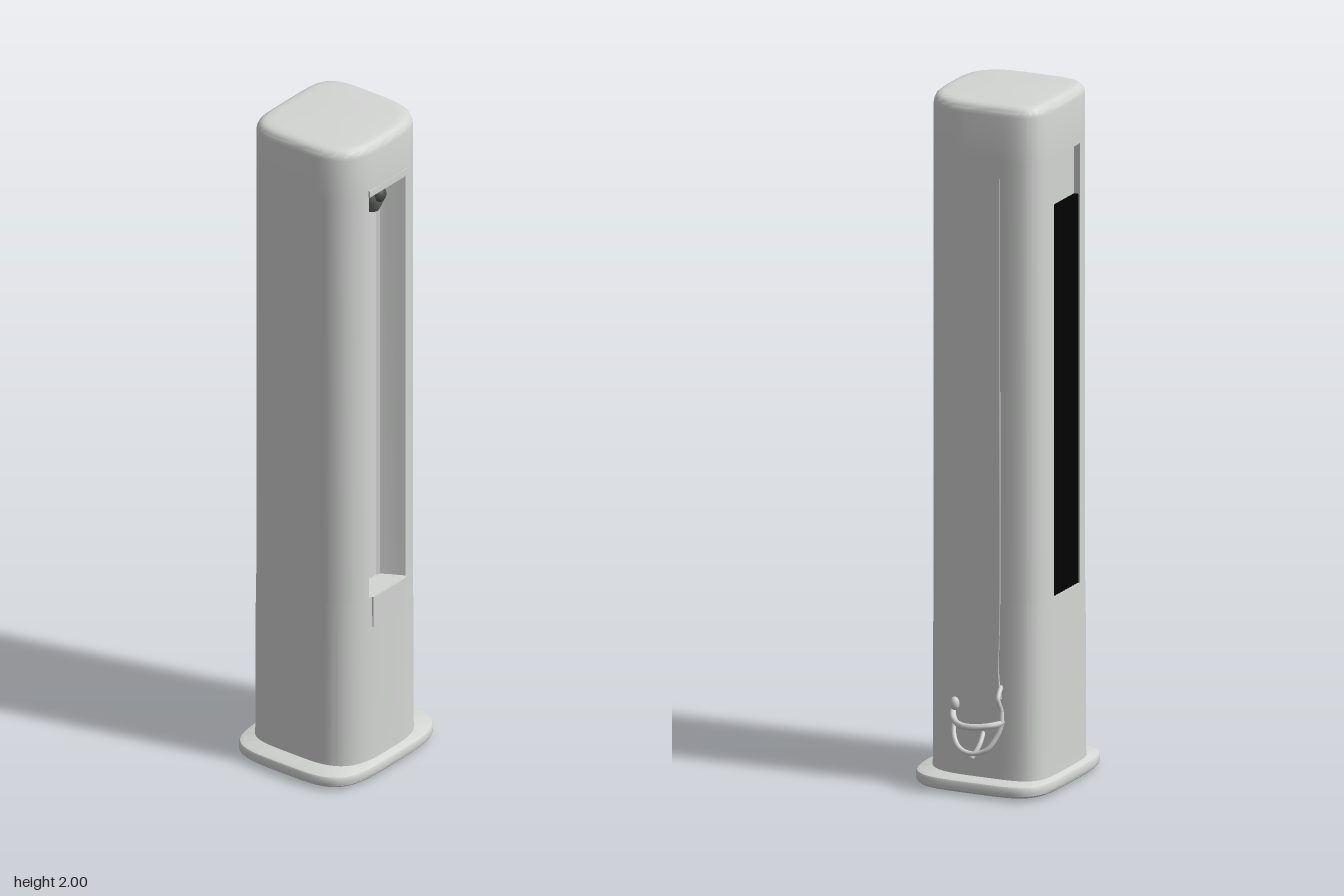
import * as THREE from 'three';
import { toCreasedNormals } from 'three/addons/utils/BufferGeometryUtils.js';

const CX = -0.005; // body centre in x

// Rounded-square outline, counter-clockwise seen from above; front and back corners differ.
function outline(cx, a, front, back, nFront, nBack, count = 96) {
  const pts = [];
  for (let i = 0; i < count; i++) {
    const t = (i / count) * Math.PI * 2;
    const c = Math.cos(t), s = Math.sin(t);
    const n = s > 0 ? nBack : nFront;
    const x = Math.sign(c) * Math.abs(c) ** (2 / n) * a;
    const z = -Math.sign(s) * Math.abs(s) ** (2 / n) * (s > 0 ? back : front);
    pts.push([cx + x, z]);
  }
  return pts;
}

// Replaces the stretch of outline spanned by a notch on one side (+1 front, -1 back).
function cutNotch(pts, side, notch) {
  const xs = notch.map((p) => p[0]);
  const lo = Math.min(...xs) - 0.002, hi = Math.max(...xs) + 0.002;
  const inside = ([x, z]) => z * side > 0.1 && x > lo && x < hi;
  const first = pts.findIndex(inside);
  const rest = pts.filter((p) => !inside(p));
  rest.splice(first, 0, ...notch);
  return rest;
}

// Closed solid through copies of an outline; each ring is [height, inset].
function loft(pts, cx, rings) {
  const pos = [], index = [], n = pts.length;
  for (const [y, inset] of rings) {
    for (const [x, z] of pts) {
      const k = 1 - inset / 0.19;
      pos.push(cx + (x - cx) * k, y, z * k);
    }
  }
  for (let r = 0; r < rings.length - 1; r++) {
    for (let i = 0; i < n; i++) {
      const j = (i + 1) % n, a = r * n + i, b = r * n + j;
      index.push(a, b, b + n, a, b + n, a + n);
    }
  }
  const last = (rings.length - 1) * n, c = rings.length * n;
  pos.push(cx, rings[0][0], 0, cx, rings[rings.length - 1][0], 0);
  for (let i = 0; i < n; i++) {
    const j = (i + 1) % n;
    index.push(c, j, i, c + 1, last + i, last + j);
  }
  const g = new THREE.BufferGeometry();
  g.setAttribute('position', new THREE.Float32BufferAttribute(pos, 3));
  g.setIndex(index);
  return toCreasedNormals(g, 0.6);
}

function tube(points, radius, segments = 32) {
  const curve = new THREE.CatmullRomCurve3(points.map((p) => new THREE.Vector3(...p)));
  return new THREE.TubeGeometry(curve, segments, radius, 8);
}

function makeMaterial(name, color) {
  const material = new THREE.MeshStandardMaterial({ color });
  material.name = name;
  return material;
}

export function createModel() {
  const model = new THREE.Group();
  const shell = makeMaterial('light grey shell', 0xd4d6d4);
  const grey = makeMaterial('mid grey nozzle', 0x6c6e6c);
  const dark = makeMaterial('dark grey knob', 0x4a4c4a);
  const black = makeMaterial('black grille', 0x030303);

  const add = (name, geometry, material, x = 0, y = 0, z = 0) => {
    const mesh = new THREE.Mesh(geometry, material);
    mesh.name = name;
    mesh.position.set(x, y, z);
    model.add(mesh);
    return mesh;
  };

  // Base plate and foot
  const basePts = outline(-0.007, 0.247, 0.21, 0.212, 4, 4.6);
  add('basePlate', loft(basePts, -0.007,
    [[0.008, 0.006], [0.014, 0.001], [0.02, 0], [0.036, 0], [0.041, 0.002], [0.045, 0.008]]), shell);
  add('foot', loft(basePts, -0.007, [[0, 0.048], [0.012, 0.046]]), black);

  // Column: solid below and above, with the front and rear recesses between
  const pts = outline(CX, 0.187, 0.181, 0.187, 3.3, 4.8);
  const bottom = 0.56, top = 1.838;
  add('lowerColumn', loft(pts, CX,
    [[0.04, -0.003], [0.08, -0.002], [0.4, -0.002], [bottom, 0]]), shell);
  add('upperColumn', loft(pts, CX, [[top, 0], [1.97, 0], [1.98, 0.002],
    [1.989, 0.006], [1.996, 0.014], [1.999, 0.024], [2, 0.04]]), shell);
  const frontNotch = [[-0.087, 0.176], [-0.062, 0.128], [-0.052, 0.114], [-0.04, 0.108],
    [0.03, 0.108], [0.042, 0.114], [0.052, 0.128], [0.077, 0.176]];
  const rearNotch = [[0.072, -0.186], [0.072, -0.168], [-0.092, -0.168], [-0.092, -0.186]];
  const section = cutNotch(cutNotch(pts, 1, frontNotch), -1, rearNotch);
  const middle = new THREE.ExtrudeGeometry(
    new THREE.Shape(section.map(([x, z]) => new THREE.Vector2(x, -z))),
    { depth: top - bottom, bevelEnabled: false });
  middle.rotateX(-Math.PI / 2);
  add('recessedColumn', toCreasedNormals(middle, 0.45), shell, 0, bottom, 0);

  // Lip over the front recess and panel under it
  add('recessLip', new THREE.BoxGeometry(0.17, 0.02, 0.008), shell, -0.006, 1.848, 0.178);
  add('lowerFrontPanel', new THREE.BoxGeometry(0.15, 0.095, 0.006), shell, -0.002, 0.512, 0.181);

  // Nozzle hanging at the top of the recess
  const nozzle = [[0, -0.09], [0.02, -0.09], [0.026, -0.078], [0.036, -0.055], [0.038, -0.035],
    [0.032, -0.022], [0.035, -0.012], [0.035, 0]];
  add('nozzle', new THREE.LatheGeometry(nozzle.map((p) => new THREE.Vector2(...p)), 24),
    grey, -0.008, top, 0.124);
  add('nozzleKnob', new THREE.SphereGeometry(0.025, 20, 14), dark, -0.008, 1.803, 0.144);

  // Rear grille: backing sheet and ribs set into the rear recess
  const grilleTop = 1.69, grilleHeight = grilleTop - bottom;
  const grilleY = bottom + grilleHeight / 2;
  add('rearGrille', new THREE.BoxGeometry(0.164, grilleHeight, 0.006), black, -0.01, grilleY, -0.169);
  for (let i = 0; i < 12; i++) {
    add('grilleRib', new THREE.BoxGeometry(0.007, grilleHeight, 0.01), black,
      -0.088 + i * 0.0142, grilleY, -0.177);
  }

  // Thin cord down the side, ending near the hook
  add('sideCord', tube([[0.181, 1.79, -0.07], [0.181, 1.2, -0.07], [0.181, 0.5, -0.07],
    [0.184, 0.34, -0.068], [0.188, 0.28, -0.078]], 0.003, 40), shell);

  // Looped side hook
  add('upperHook', tube([[0.178, 0.235, 0.075], [0.21, 0.215, 0.06], [0.238, 0.205, 0.025],
    [0.245, 0.205, -0.015], [0.233, 0.21, -0.06], [0.205, 0.215, -0.09]], 0.009), shell);
  add('lowerHook', tube([[0.178, 0.215, 0.07], [0.205, 0.165, 0.06], [0.23, 0.135, 0.03],
    [0.235, 0.125, -0.01], [0.232, 0.14, -0.055], [0.215, 0.18, -0.08], [0.205, 0.215, -0.09]], 0.007), shell);
  add('hookStem', tube([[0.18, 0.315, -0.075], [0.21, 0.285, -0.08], [0.2, 0.25, -0.085],
    [0.205, 0.215, -0.09]], 0.007, 20), shell);
  add('hookArm', tube([[0.18, 0.175, -0.02], [0.21, 0.145, -0.022], [0.235, 0.112, -0.01]], 0.007, 16), shell);
  const tip = add('hookTip', new THREE.SphereGeometry(0.014, 14, 10), shell, 0.19, 0.25, 0.065);
  tip.scale.set(0.9, 1.4, 1);

  return model;
}
